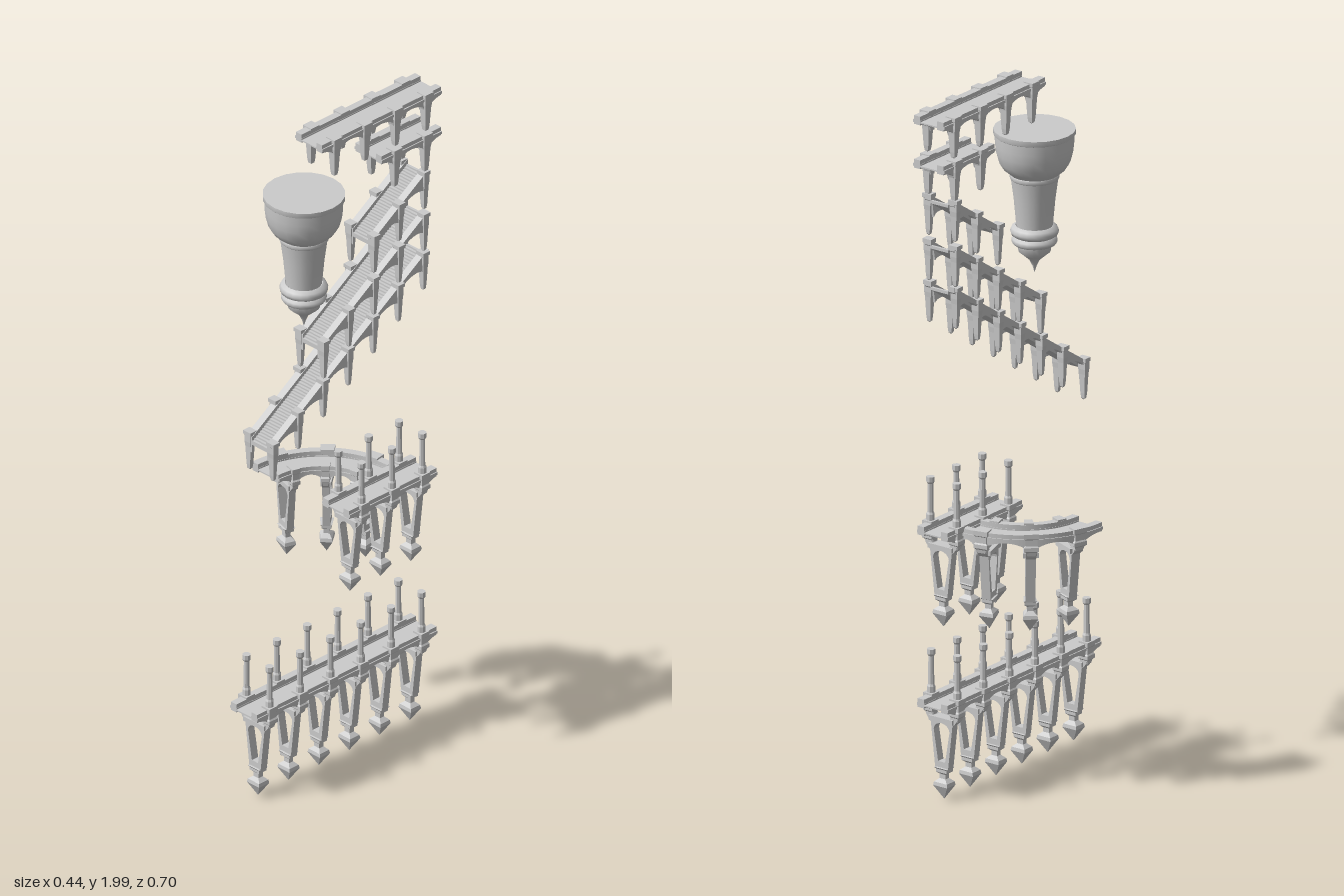
import * as THREE from 'three';

const stone = new THREE.MeshStandardMaterial({ color: 0xcccccc, side: THREE.DoubleSide });
const MID = 0.107;          // x of the straight bridges
const BAY = 0.1153;         // distance between bridge piers
const ARC = 0.22;           // radius of the curved bridge

// Lofts a rectangular section along z between top(z) and bottom(z).
function loft(x0, x1, z0, z1, top, bottom, n) {
  const rings = [], pos = [];
  for (let i = 0; i <= n; i++) {
    const z = z0 + (z1 - z0) * i / n, t = top(z), b = bottom(z);
    rings.push([[x0, b, z], [x1, b, z], [x1, t, z], [x0, t, z]]);
  }
  const quad = (a, b, c, d) => pos.push(...a, ...b, ...c, ...a, ...c, ...d);
  for (let i = 0; i < n; i++)
    for (let j = 0; j < 4; j++) {
      const k = (j + 1) % 4;
      quad(rings[i][j], rings[i][k], rings[i + 1][k], rings[i + 1][j]);
    }
  quad(...rings[n]);
  quad(...rings[0].slice().reverse());
  const g = new THREE.BufferGeometry();
  g.setAttribute('position', new THREE.Float32BufferAttribute(pos, 3));
  return g;
}

// Turned piece from [half width, y] points, bottom first; four sides make it square.
function turned(profile, sides = 4, sx = 1, sz = 1) {
  const k = sides === 4 ? Math.SQRT2 : 1;
  const g = new THREE.LatheGeometry(profile.map(p => new THREE.Vector2(p[0] * k, p[1])), sides, Math.PI / sides);
  return g.scale(sx, 1, sz).toNonIndexed();
}

// Adds a faceted part, bending it first when a bend rule is given.
function add(group, name, g, bend) {
  if (g.index) g = g.toNonIndexed();
  if (bend) {
    const p = g.attributes.position;
    for (let i = 0; i < p.count; i++) p.setXYZ(i, ...bend(p.getX(i), p.getY(i), p.getZ(i)));
  }
  g.computeVertexNormals();
  const m = new THREE.Mesh(g, stone);
  m.name = name;
  group.add(m);
}

// Tapered post hanging below a parapet, y = 0 at its cap
const hangingPost = () => turned([[0, -0.12], [0.006, -0.115], [0.008, -0.1], [0.011, -0.045], [0.013, -0.03],
  [0.013, -0.01], [0.016, -0.008], [0.016, 0.003], [0, 0.003]]);

// Pointed frame of two converging legs under a bridge
function legFrame() {
  const s = new THREE.Shape();
  s.moveTo(-0.022, -0.205);
  s.lineTo(0.022, -0.205);
  s.lineTo(0.037, -0.075);
  s.quadraticCurveTo(0.057, -0.06, 0.058, -0.035);
  s.lineTo(0.036, -0.035);
  s.quadraticCurveTo(0.036, -0.058, 0.02, -0.058);
  s.lineTo(-0.02, -0.058);
  s.quadraticCurveTo(-0.036, -0.058, -0.036, -0.035);
  s.lineTo(-0.058, -0.035);
  s.quadraticCurveTo(-0.057, -0.06, -0.037, -0.075);
  const h = new THREE.Path();
  h.moveTo(-0.012, -0.185);
  h.lineTo(-0.027, -0.095);
  h.quadraticCurveTo(-0.025, -0.076, 0, -0.073);
  h.quadraticCurveTo(0.025, -0.076, 0.027, -0.095);
  h.lineTo(0.012, -0.185);
  s.holes.push(h);
  return new THREE.ExtrudeGeometry(s, { depth: 0.024, bevelEnabled: false, curveSegments: 5 }).translate(0, 0, -0.012);
}

// Arched bridge along z with its parapet top at y = 0
function bridge(name, { z0, z1, first, count, bay = BAY, pendants, poles, bend }) {
  const g = new THREE.Group();
  g.name = name;
  const arch = z => {
    let d = (first - z) / bay;
    d = Math.abs(d - Math.floor(d) - 0.5) * 2;
    return d > 0.84 ? -0.055 : -0.025 - 0.04 * (1 - Math.sqrt(1 - d * d));
  };
  const n = Math.round((z1 - z0) / bay * 24);
  add(g, 'deck', loft(-0.03, 0.03, z0, z1, () => -0.016, () => -0.02, n), bend);
  for (const s of [-1, 1]) {
    add(g, 'parapet', loft(s * 0.04 - 0.011, s * 0.04 + 0.011, z0, z1, () => 0, arch, n), bend);
    add(g, 'parapetLedge', loft(s * 0.041 - 0.013, s * 0.041 + 0.013, z0, z1, () => -0.012, () => -0.02, n), bend);
  }
  for (let i = 0; i < count; i++) {
    const z = first - i * bay;
    for (const s of [-1, 1]) {
      const x = s * 0.045;
      if (!pendants) {
        add(g, 'hangingPost', hangingPost().translate(x, 0, z), bend);
        continue;
      }
      add(g, 'pierBlock', turned([[0, -0.065], [0.009, -0.06], [0.011, -0.05], [0.016, -0.045], [0.016, -0.034],
        [0.013, -0.03], [0.013, -0.012], [0.016, -0.009], [0.016, 0.005], [0, 0.005]]).translate(x, 0, z), bend);
      if (poles) add(g, 'pole', turned([[0.012, 0.005], [0.012, 0.022], [0.009, 0.028], [0.008, 0.11],
        [0.012, 0.116], [0.012, 0.13], [0, 0.13]], 8).translate(x, 0, z), bend);
    }
    if (!pendants) continue;
    add(g, 'legFrame', legFrame().translate(0, 0, z), bend);
    add(g, 'legCollar', new THREE.BoxGeometry(0.082, 0.014, 0.036).translate(0, -0.063, z), bend);
    add(g, 'pendant', turned([[0, -0.295], [0.024, -0.255], [0.022, -0.245], [0.01, -0.235], [0.01, -0.222],
      [0.018, -0.216], [0.018, -0.207], [0.022, -0.203], [0, -0.2]], 4, 1, 0.8).translate(0, 0, z), bend);
  }
  return g;
}

// Sloping flight of steps between arched parapets, from its foot to the back
function stair(name, zFoot, yFoot) {
  const g = new THREE.Group(), bay = 0.095, slope = 0.65, zEnd = -0.302;
  g.name = name;
  const first = zFoot - 0.007;
  const top = z => yFoot + (zFoot - z) * slope;
  const under = z => {
    let t = (first - z) / bay;
    t -= Math.floor(t);
    const a = Math.sqrt(Math.max(0, 1 - (2 * t - 1) ** 2));
    return top(z) - 0.03 - 0.036 * t + 0.028 * a;
  };
  const bays = Math.round((first - zEnd) / bay);
  for (const s of [-1, 1]) {
    add(g, 'stairParapet', loft(s * 0.04 - 0.011, s * 0.04 + 0.011, zEnd, zFoot, top, under, bays * 16));
    for (let i = 0; i <= bays; i++) {
      const z = first - i * bay;
      add(g, 'stairPost', hangingPost().scale(0.9, 1, 0.75).translate(s * 0.045, top(z) + 0.005, z));
    }
  }
  // fine treads cut as a saw-tooth profile
  const run = zFoot - zEnd, n = Math.round(run / 0.0073), step = run / n, p = new THREE.Shape();
  p.moveTo(-zFoot, yFoot - 0.024);
  for (let i = 0; i < n; i++) {
    const y = yFoot - 0.011 + i * step * slope;
    p.lineTo(-zFoot + i * step, y);
    p.lineTo(-zFoot + (i + 1) * step, y);
  }
  p.lineTo(-zEnd, yFoot - 0.024 + run * slope);
  add(g, 'steps', new THREE.ExtrudeGeometry(p, { depth: 0.06, bevelEnabled: false })
    .rotateY(Math.PI / 2).translate(-0.03, 0, 0));
  return g;
}

// Round bowl-headed turret with ringed foot and pointed drop
function turret() {
  const g = new THREE.Group();
  g.name = 'turret';
  const runs = {
    drop: [[0, 1.415], [0.006, 1.435], [0.014, 1.452], [0.03, 1.466], [0.044, 1.478], [0.046, 1.498]],
    lowerRing: [[0.046, 1.497], [0.058, 1.5], [0.063, 1.507], [0.062, 1.516], [0.054, 1.522]],
    upperRing: [[0.054, 1.522], [0.064, 1.528], [0.067, 1.538], [0.063, 1.548], [0.052, 1.554]],
    shaft: [[0.05, 1.553], [0.057, 1.63], [0.065, 1.69]],
    shaftBand: [[0.065, 1.688], [0.068, 1.692], [0.068, 1.7], [0.066, 1.703]],
    bowl: [[0.066, 1.702], [0.085, 1.718], [0.098, 1.738], [0.105, 1.765], [0.108, 1.79], [0.109, 1.818]],
    rim: [[0.109, 1.816], [0.113, 1.819], [0.113, 1.833]],
    topFloor: [[0.113, 1.833], [0, 1.833]],
  };
  for (const [name, pts] of Object.entries(runs)) {
    const m = new THREE.Mesh(new THREE.LatheGeometry(pts.map(p => new THREE.Vector2(...p)), 20), stone);
    m.name = name;
    g.add(m);
  }
  return g;
}

export function createModel() {
  const model = new THREE.Group();
  model.name = 'bridgesAndStairs';
  const place = (part, x, y, z = 0) => { part.position.set(x, y, z); model.add(part); };

  // hanging bridges on pendants
  place(bridge('longBridge', { z0: -0.333, z1: 0.35, first: 0.296, count: 6, pendants: true, poles: true }), MID, 0.302);
  place(bridge('shortBridge', { z0: -0.333, z1: 0, first: -0.053, count: 3, pendants: true, poles: true }), MID, 0.802);
  const bend = (x, y, z) => {
    const a = -z / ARC, r = ARC - x;
    return [-r * Math.cos(a), y, -r * Math.sin(a)];
  };
  place(bridge('curvedBridge', { z0: -ARC * Math.PI / 2, z1: 0, first: -0.0707, count: 3, bay: 0.1125, pendants: true, bend }),
    0.052, 0.8);

  // upper bridges
  place(bridge('topBridge', { z0: -0.35, z1: 0.103, first: 0.05, count: 4 }), MID, 1.997);
  place(bridge('upperBridge', { z0: -0.35, z1: -0.123, first: -0.178, count: 2 }), MID, 1.87);

  // three flights of stairs, one above the other
  place(stair('lowerStair', 0.29, 1.12), MID, 0);
  place(stair('middleStair', 0.098, 1.365), MID, 0);
  place(stair('upperStair', -0.093, 1.62), MID, 0);

  place(turret(), MID, 0, 0.122);
  return model;
}
